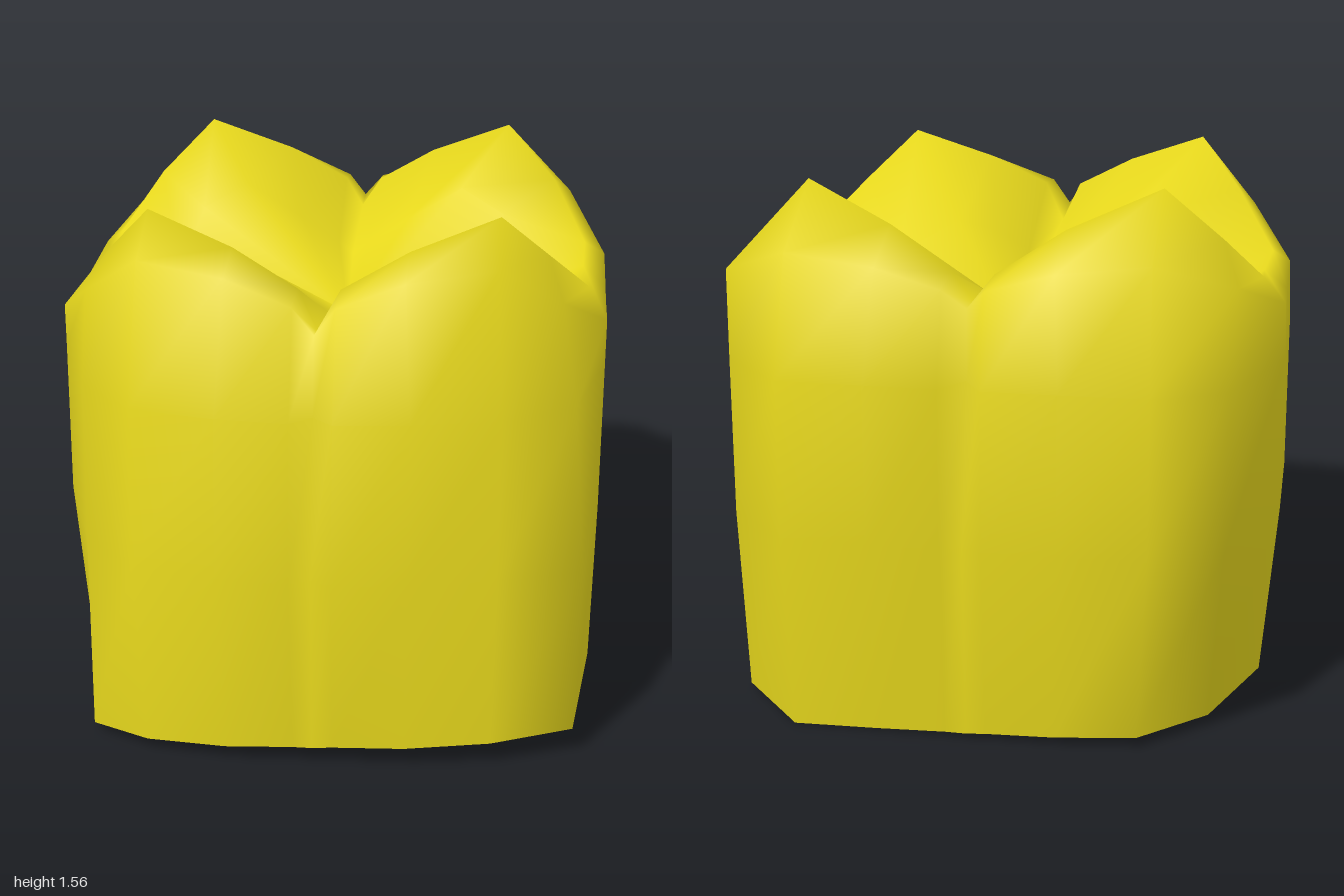
import * as THREE from 'three';

// Half profiles, running from the front groove round the +x side to the back groove.
// Widest outline of the wall [x, z]
const outline = [
  [0, 0.93], [0.06, 1], [0.27, 0.98], [0.52, 0.92], [0.69, 0.73], [0.82, 0.36], [0.84, 0],
  [0.85, -0.36], [0.72, -0.78], [0.52, -0.98], [0.27, -0.985], [0.06, -0.985], [0, -0.92],
];
// Rounded outer edge of the biting surface [x, y, z]
const rim = [
  [0, 1.28, 0.84], [0.06, 1.36, 0.85], [0.25, 1.43, 0.83], [0.5, 1.46, 0.78], [0.68, 1.33, 0.64],
  [0.82, 1.19, 0.34], [0.83, 1.18, -0.05], [0.84, 1.2, -0.36], [0.73, 1.32, -0.75],
  [0.51, 1.4, -0.89], [0.25, 1.37, -0.9], [0.06, 1.32, -0.92], [0, 1.26, -0.87],
];
// Crest line through the four cusps
const crest = [
  [0, 1.24, 0.7], [0.06, 1.37, 0.7], [0.25, 1.47, 0.65], [0.5, 1.56, 0.59], [0.64, 1.41, 0.43],
  [0.77, 1.25, 0.2], [0.76, 1.24, -0.07], [0.77, 1.26, -0.28], [0.67, 1.41, -0.52],
  [0.51, 1.57, -0.64], [0.25, 1.46, -0.72], [0.06, 1.34, -0.78], [0, 1.25, -0.75],
];
// Triangular ridges and grooves running down to the pit
const slope = [
  [0, 1.17, 0.32], [0.05, 1.2, 0.32], [0.16, 1.27, 0.3], [0.27, 1.31, 0.22], [0.44, 1.22, 0.08],
  [0.57, 1.12, -0.02], [0.58, 1.07, -0.08], [0.57, 1.15, -0.18], [0.5, 1.33, -0.35],
  [0.36, 1.4, -0.41], [0.18, 1.29, -0.41], [0.05, 1.21, -0.39], [0, 1.18, -0.37],
];
const pit = [0, 1.03, -0.17];

// Complete a half profile with its mirror image
const mirror = (half) => [
  ...half,
  ...half.slice(1, -1).reverse().map(([x, ...rest]) => [-x, ...rest]),
];

// Wall ring at height y; the +x front corner flares by the given amount (0 to 1),
// and the -x back corner bulges outward
function wallRing(y, flare, frontScale, grooveScale) {
  return mirror(outline).map(([x, z]) => {
    if (x === 0) return [x, y, z * grooveScale];
    if (x > 0.6 && z > 0.5) return [x + 0.07 * flare, y, z * frontScale + 0.11 * flare];
    if (x < -0.6 && z < -0.3) return [x, y, z - 0.1];
    return [x, y, z > 0 ? z * frontScale : z];
  });
}

// Wavy open lower edge, tucked in at the middle of each face and flared at the front corners
function bottomPoint([x, z]) {
  let bx = x < 0 ? x * 0.94 : x * 0.99;
  let bz = z > 0 ? z * (0.96 + 0.1 * Math.abs(x)) : z * (x < -0.4 ? 0.92 : 0.94);
  if (x === 0) bz = z > 0 ? 0.97 : -0.93;
  if (Math.abs(x) > 0.6 && z > 0.5) {
    bx += x > 0 ? 0.07 : -0.02;
    bz += 0.09;
  }
  const y = 0.065 + 0.04 * bx - Math.max(0, -bz - 0.4) * (0.08 + 0.14 * bx);
  return [bx, y, bz];
}

// Lofts closed rings upward and closes the last one on a single point
function loftGeometry(rings, tip) {
  const n = rings[0].length;
  const index = [];
  rings.forEach((ring, r) => {
    for (let i = 0; i < n; i++) {
      const j = (i + 1) % n;
      const a = r * n + i, b = r * n + j;
      if (r === rings.length - 1) index.push(a, b, rings.length * n);
      else index.push(a, b, b + n, a, b + n, a + n);
    }
  });
  const geometry = new THREE.BufferGeometry();
  geometry.setAttribute('position', new THREE.Float32BufferAttribute([...rings.flat(), tip].flat(), 3));
  geometry.setIndex(index);
  geometry.computeVertexNormals();
  return geometry;
}

export function createModel() {
  const group = new THREE.Group();
  group.name = 'molarCrown';

  const rings = [
    mirror(outline).map(bottomPoint),
    // the front and back grooves fade out at mid height
    wallRing(0.6, 1, 1, 1.04),
    wallRing(1.06, 0.5, 0.95, 0.96),
    mirror(rim),
    mirror(crest),
    mirror(slope),
  ];

  const material = new THREE.MeshStandardMaterial({ color: 0xe6d71c, side: THREE.DoubleSide });
  const crown = new THREE.Mesh(loftGeometry(rings, pit), material);
  crown.name = 'crownShell';
  group.add(crown);
  return group;
}
